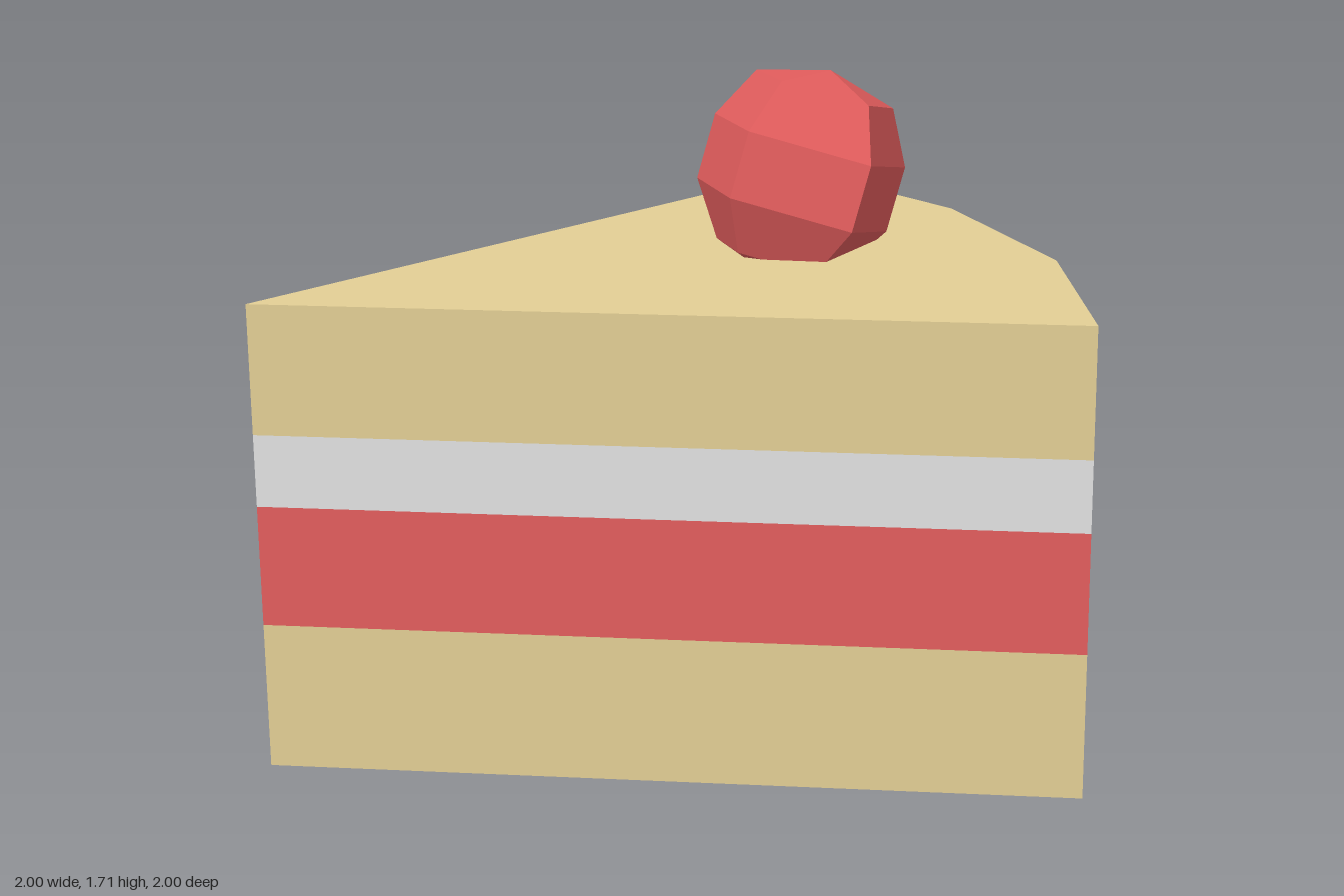
import * as THREE from 'three';
import { mergeGeometries } from 'three/addons/utils/BufferGeometryUtils.js';

const RADIUS = 2.1;
const START = THREE.MathUtils.degToRad(108);
const SWEEP = THREE.MathUtils.degToRad(54);
const TIP = [-1, 1]; // x, z of the wedge's point
const CIRCLE_START = START - Math.PI / 2;

const material = (name, color) => {
  const m = new THREE.MeshStandardMaterial({ color });
  m.name = name;
  return m;
};

// Walls of one wedge layer: a smooth three-sided rim and two flat cuts
function wedgeWalls(height) {
  const rim = new THREE.CylinderGeometry(RADIUS, RADIUS, height, 3, 1, true, START, SWEEP);
  const frontCut = new THREE.PlaneGeometry(RADIUS, height)
    .translate(RADIUS / 2, 0, 0)
    .rotateY(START - Math.PI / 2);
  const sideCut = new THREE.PlaneGeometry(RADIUS, height)
    .translate(-RADIUS / 2, 0, 0)
    .rotateY(START + SWEEP + Math.PI / 2);
  return [rim, frontCut, sideCut];
}

export function createModel() {
  const sponge = material('sponge', 0xe3cf95);
  const cream = material('cream', 0xe2e2e2);
  const red = material('red', 0xe35d5d);
  const model = new THREE.Group();
  model.name = 'cakeSlice';

  const add = (name, geometry, mat) => {
    const mesh = new THREE.Mesh(geometry, mat);
    mesh.name = name;
    model.add(mesh);
    return mesh;
  };

  // Stacked layers; only the outer ones carry a cap
  const layers = [
    ['bottomSponge', 0, 0.39, sponge],
    ['jamLayer', 0.39, 0.71, red],
    ['creamLayer', 0.71, 0.9, cream],
    ['topSponge', 0.9, 1.24, sponge],
  ];
  for (const [name, low, high, mat] of layers) {
    const height = high - low;
    const parts = wedgeWalls(height);
    if (name === 'topSponge') {
      parts.push(new THREE.CircleGeometry(RADIUS, 3, CIRCLE_START, SWEEP)
        .rotateX(-Math.PI / 2).translate(0, height / 2, 0));
    }
    if (name === 'bottomSponge') {
      parts.push(new THREE.CircleGeometry(RADIUS, 3, -CIRCLE_START - SWEEP, SWEEP)
        .rotateX(Math.PI / 2).translate(0, -height / 2, 0));
    }
    add(name, mergeGeometries(parts), mat).position.set(TIP[0], (low + high) / 2, TIP[1]);
  }

  // Five-sided faceted cherry, tilted and sunk slightly into the top
  const profile = [[0, -0.29], [0.18, -0.23], [0.28, -0.09], [0.28, 0.09], [0.2, 0.235], [0, 0.29]]
    .map(([r, y]) => new THREE.Vector2(r, y));
  const cherryMat = material('cherry', 0xe35d5d);
  cherryMat.flatShading = true;
  const cherry = add('cherry', new THREE.LatheGeometry(profile, 5), cherryMat);
  const up = new THREE.Vector3(0.2, 0.95, -0.22).normalize();
  const right = up.clone().cross(new THREE.Vector3(-0.21, 0.3, 0.93)).normalize();
  const forward = right.clone().cross(up);
  cherry.quaternion.setFromRotationMatrix(new THREE.Matrix4().makeBasis(right, up, forward));
  cherry.position.set(0.012, 1.43, -0.13);

  return model;
}
